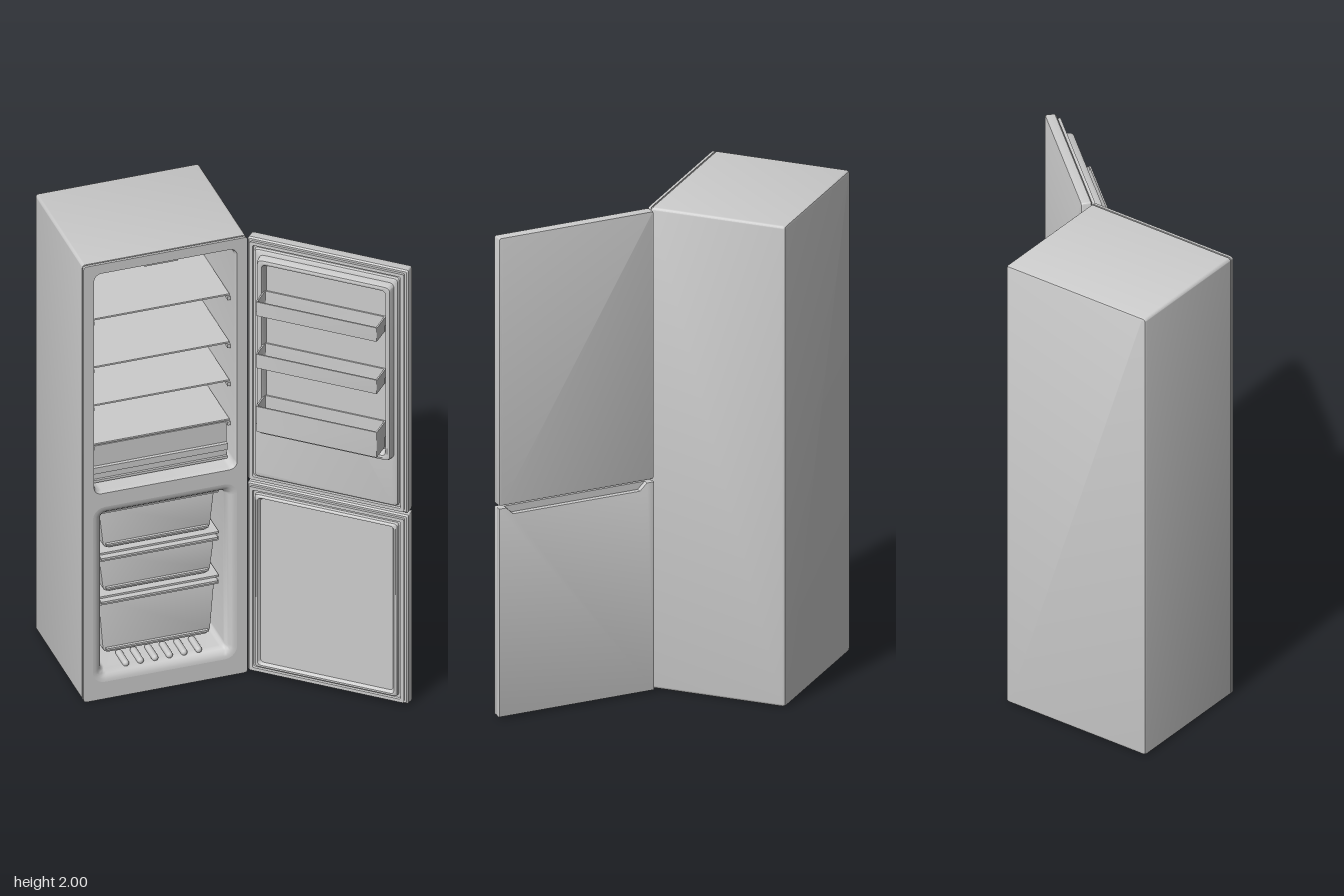
import * as THREE from 'three';
import { toCreasedNormals } from 'three/addons/utils/BufferGeometryUtils.js';

const material = new THREE.MeshStandardMaterial({ color: 0xcccccc, side: THREE.DoubleSide });

function add(parent, name, geometry) {
  const mesh = new THREE.Mesh(geometry, material);
  mesh.name = name;
  parent.add(mesh);
  return mesh;
}

function group(parent, name) {
  const g = new THREE.Group();
  g.name = name;
  if (parent) parent.add(g);
  return g;
}

// Box given by its limits on each axis
function box(parent, name, [x0, x1], [y0, y1], [z0, z1]) {
  const g = new THREE.BoxGeometry(x1 - x0, y1 - y0, z1 - z0);
  return add(parent, name, g.translate((x0 + x1) / 2, (y0 + y1) / 2, (z0 + z1) / 2));
}

// Counter-clockwise outline of a rounded rectangle
function outline(x0, x1, y0, y1, r) {
  const pts = [];
  const corners = [[x1 - r, y0 + r], [x1 - r, y1 - r], [x0 + r, y1 - r], [x0 + r, y0 + r]];
  corners.forEach(([cx, cy], k) => {
    for (let i = 0; i <= 5; i++) {
      const a = (k - 1 + i / 5) * Math.PI / 2;
      pts.push(new THREE.Vector2(cx + r * Math.cos(a), cy + r * Math.sin(a)));
    }
  });
  return pts;
}

// Skin over copies of one rounded rectangle; each step is [inset, z, radius]
function loft([x0, x1, y0, y1], steps, { start = false, end = true } = {}) {
  const pos = [], index = [];
  let n = 0;
  for (const [d, z, r] of steps) {
    const pts = outline(x0 + d, x1 - d, y0 + d, y1 - d, r);
    n = pts.length;
    for (const p of pts) pos.push(p.x, p.y, z);
  }
  for (let s = 0; s < steps.length - 1; s++) {
    for (let i = 0; i < n; i++) {
      const a = s * n + i, b = s * n + (i + 1) % n;
      index.push(a, b, b + n, a, b + n, a + n);
    }
  }
  const last = (steps.length - 1) * n;
  for (let i = 1; i < n - 1; i++) {
    if (end) index.push(last, last + i, last + i + 1);
    if (start) index.push(0, i + 1, i);
  }
  const g = new THREE.BufferGeometry();
  g.setAttribute('position', new THREE.Float32BufferAttribute(pos, 3));
  g.setIndex(index);
  return toCreasedNormals(g, 0.6);
}

function buildCabinet(root) {
  const cabinet = group(root, 'cabinet');
  const outer = [-0.61, 0.065, 0, 2];
  const fridge = [-0.567, 0.022, 0.945, 1.957];
  const freezer = [-0.572, 0.022, 0.078, 0.882];

  add(cabinet, 'outerShell', loft(outer, [
    [0.012, -0.53, 0.008], [0.004, -0.527, 0.01], [0, -0.518, 0.012],
    [0, 0.028, 0.012], [0.004, 0.028, 0.01], [0.004, 0.034, 0.01], [0, 0.034, 0.012], [0, 0.045, 0.012],
  ], { start: true, end: false }));

  const face = new THREE.Shape(outline(...outer, 0.012));
  face.holes.push(new THREE.Path(outline(...fridge, 0.03)), new THREE.Path(outline(...freezer, 0.05)));
  add(cabinet, 'frontFrame', new THREE.ShapeGeometry(face).translate(0, 0, 0.045));

  add(cabinet, 'fridgeLiner', loft(fridge, [
    [0, 0.045, 0.03], [0.003, 0.036, 0.03], [0.006, 0.025, 0.03],
    [0.008, -0.43, 0.03], [0.016, -0.447, 0.025], [0.03, -0.455, 0.02],
  ]));
  // The freezer opening flares with a wide rounded edge
  const flare = [];
  for (let i = 0; i <= 6; i++) {
    const a = i / 6 * Math.PI / 2;
    flare.push([0.042 * Math.sin(a), 0.045 - 0.045 * (1 - Math.cos(a)), 0.05 - 0.03 * Math.sin(a)]);
  }
  add(cabinet, 'freezerLiner', loft(freezer, [...flare, [0.046, -0.42, 0.02]]));
}

function buildFridgeInterior(root) {
  const inside = group(root, 'fridgeInterior');
  [1.13, 1.31, 1.485, 1.705].forEach((y) => {
    box(inside, 'shelf', [-0.558, 0.013], [y, y + 0.007], [-0.44, -0.02]);
    for (const x of [-0.559, 0.002]) box(inside, 'shelfRail', [x, x + 0.012], [y - 0.016, y], [-0.43, -0.01]);
  });
  box(inside, 'backPanel', [-0.4, -0.145], [1.137, 1.86], [-0.46, -0.44]);
  box(inside, 'lamp', [-0.35, -0.21], [1.932, 1.955], [-0.15, 0.015]);

  // Vegetable drawer with a ledge handle
  const x = [-0.552, 0.005];
  box(inside, 'crisperFront', x, [0.957, 1.12], [-0.05, -0.03]);
  box(inside, 'crisperBody', [-0.535, -0.012], [0.96, 1.115], [-0.42, -0.05]);
  box(inside, 'crisperHandle', x, [1.0, 1.028], [-0.03, -0.015]);
  box(inside, 'crisperFoot', x, [0.957, 0.968], [-0.03, -0.02]);
}

function buildFreezerInterior(root) {
  const inside = group(root, 'freezerInterior');
  for (const [y0, y1] of [[0.625, 0.82], [0.425, 0.6], [0.145, 0.4]]) {
    const drawer = group(inside, 'freezerDrawer');
    const taper = 0.022, r = 0.025, l = -0.515, e = -0.035;
    // Tapered front with rounded lower corners
    const s = new THREE.Shape();
    s.moveTo(l, y1);
    s.lineTo(l + taper - 0.004, y0 + r);
    s.quadraticCurveTo(l + taper, y0, l + taper + r, y0);
    s.lineTo(e - taper - r, y0);
    s.quadraticCurveTo(e - taper, y0, e - taper + 0.004, y0 + r);
    s.lineTo(e, y1);
    s.closePath();
    const body = new THREE.ExtrudeGeometry(s, {
      depth: 0.34, bevelThickness: 0.006, bevelSize: 0.006, bevelOffset: -0.006, bevelSegments: 2,
    });
    add(drawer, 'drawerBody', toCreasedNormals(body.translate(0, 0, -0.4), 0.6));
    box(drawer, 'drawerLip', [l - 0.006, e + 0.006], [y1 - 0.018, y1], [-0.4, -0.03]);
    box(drawer, 'drawerGrip', [l, e], [y1 - 0.005, y1 + 0.004], [-0.06, -0.018]);
    box(drawer, 'drawerLedge', [l + 0.03, e - 0.03], [y0 + 0.016, y0 + 0.024], [-0.054, -0.042]);
  }
  for (const y of [0.607, 0.407]) box(inside, 'coolingShelf', [-0.526, -0.024], [y, y + 0.008], [-0.41, -0.04]);
  for (let i = 0; i < 6; i++) {
    const rib = add(inside, 'floorRib', new THREE.CapsuleGeometry(0.014, 0.08, 4, 10));
    rib.rotation.x = Math.PI / 2;
    rib.position.set(-0.425 + i * 0.06, 0.124, -0.03);
  }
}

// Doors run along local x from the hinge; local z points from the outer skin to the inside
function doorGroup(root, name) {
  const door = group(root, name);
  door.position.set(0.097, 0, 0.007);
  door.rotation.y = -0.7225;
  return door;
}

const gasket = [[0.006, 0.046, 0.006], [0.014, 0.046, 0.006], [0.014, 0.052, 0.006], [0.012, 0.06, 0.006], [0.026, 0.06, 0.006], [0.028, 0.052, 0.01]];

function buildUpperDoor(root) {
  const door = doorGroup(root, 'fridgeDoor');
  add(door, 'doorSlab', loft([0, 0.673, 0.885, 2], [
    [0.008, 0, 0.006], [0.002, 0.002, 0.008], [0, 0.008, 0.008], [0, 0.04, 0.008], ...gasket,
    [0.034, 0.052, 0.012], [0.037, 0.063, 0.014], [0.045, 0.068, 0.012],
  ], { start: true }));
  // Raised rim around the bin recess
  add(door, 'binRim', loft([0.056, 0.624, 1.14, 1.945], [
    [0, 0.06, 0.02], [0.002, 0.09, 0.02], [0.006, 0.1, 0.02], [0.016, 0.103, 0.018],
    [0.024, 0.1, 0.016], [0.028, 0.09, 0.016], [0.034, 0.07, 0.016],
  ]));
  for (const [y0, y1] of [[1.725, 1.79], [1.485, 1.55], [1.193, 1.31]]) {
    const bin = add(door, 'doorBin', loft([0.082, 0.592, -0.167, -0.074], [
      [0.002, y0, 0.004], [0, y1, 0.004], [0.006, y1, 0.003], [0.008, y0 + 0.008, 0.003],
    ], { start: true }));
    bin.rotation.x = -Math.PI / 2;
  }
}

function buildLowerDoor(root) {
  const door = doorGroup(root, 'freezerDoor');
  const [w, y0, y1] = [0.673, 0.008, 0.875];
  // Outer skin with a grip cut along its top edge
  const s = new THREE.Shape();
  s.moveTo(0.003, y0 + 0.003);
  s.lineTo(w - 0.003, y0 + 0.003);
  s.lineTo(w - 0.003, y1 - 0.003);
  s.lineTo(w - 0.03, y1 - 0.003);
  s.lineTo(w - 0.06, 0.843);
  s.lineTo(0.06, 0.843);
  s.lineTo(0.03, y1 - 0.003);
  s.lineTo(0.003, y1 - 0.003);
  s.closePath();
  const skin = new THREE.ExtrudeGeometry(s, { depth: 0.018, bevelThickness: 0.003, bevelSize: 0.003, bevelSegments: 2 });
  add(door, 'outerSkin', toCreasedNormals(skin.translate(0, 0, 0.003), 0.6));
  add(door, 'doorSlab', loft([0, w, y0, y1], [
    [0, 0.021, 0.004], [0, 0.04, 0.006], ...gasket,
    [0.036, 0.052, 0.012], [0.038, 0.064, 0.014], [0.044, 0.069, 0.014],
    [0.05, 0.069, 0.014], [0.058, 0.056, 0.014],
  ], { start: true }));
}

export function createModel() {
  const root = group(null, 'refrigerator');
  buildCabinet(root);
  buildFridgeInterior(root);
  buildFreezerInterior(root);
  buildUpperDoor(root);
  buildLowerDoor(root);
  return root;
}
